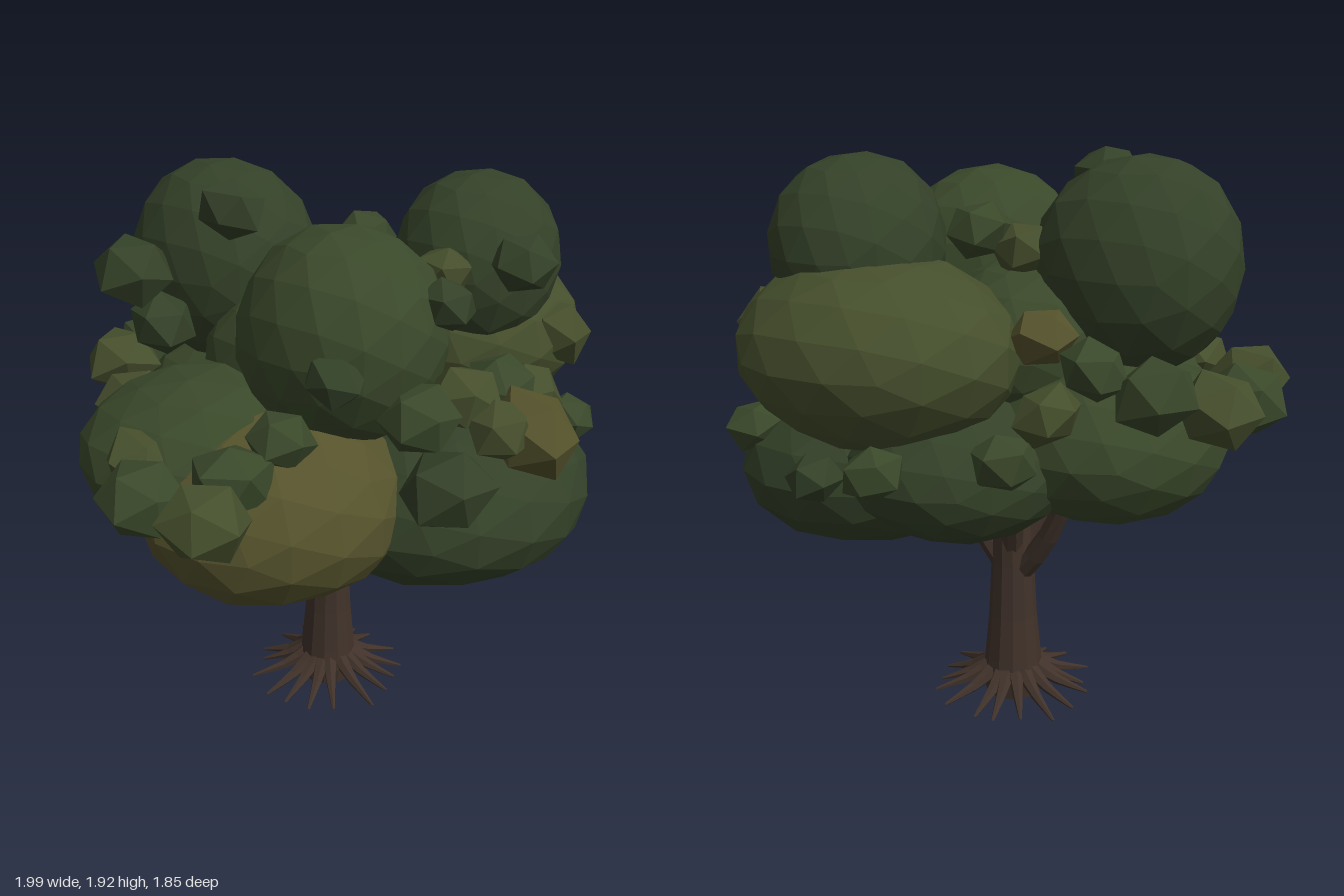
import * as THREE from 'three';

const mat = (color) => new THREE.MeshStandardMaterial({ color, flatShading: true });
const [DARK, MID, LIGHT, OLIVE] = [0x344128, 0x3a482a, 0x454e2c, 0x55522c].map(mat);
const BARK = mat(0x40322a);

// Small seeded generator
function seeded(seed) {
  return () => {
    seed = (seed * 16807) % 2147483647;
    return seed / 2147483647;
  };
}

function addMesh(parent, name, geometry, material) {
  const mesh = new THREE.Mesh(geometry, material);
  mesh.name = name;
  parent.add(mesh);
  return mesh;
}

const curveThrough = (points) => new THREE.CatmullRomCurve3(points.map((p) => new THREE.Vector3(...p)));

// Tapering limb: a tube whose rings shrink from r0 to r1
function limb(points, r0, r1, sides = 8, rings = 6) {
  const curve = curveThrough(points);
  const geo = new THREE.TubeGeometry(curve, rings, 1, sides);
  const pos = geo.attributes.position;
  const v = new THREE.Vector3();
  for (let i = 0; i < pos.count; i++) {
    const t = Math.floor(i / (sides + 1)) / rings;
    const c = curve.getPointAt(t);
    v.fromBufferAttribute(pos, i).sub(c).multiplyScalar(r0 + (r1 - r0) * t).add(c);
    pos.setXYZ(i, v.x, v.y, v.z);
  }
  geo.computeVertexNormals();
  return geo;
}

// Faceted foliage lump, pushed gently out of round by a smooth rule
function lump(radii, detail, seed, wobble) {
  const geo = new THREE.IcosahedronGeometry(1, detail);
  const pos = geo.attributes.position;
  for (let i = 0; i < pos.count; i++) {
    const x = pos.getX(i), y = pos.getY(i), z = pos.getZ(i);
    const k = 1 + wobble * Math.sin(3 * x + seed) * Math.cos(2.5 * z + 2 * y + seed * 1.7);
    pos.setXYZ(i, x * k * radii[0], y * k * radii[1], z * k * radii[2]);
  }
  geo.computeVertexNormals();
  return geo;
}

// Large crown masses: centre, radii, green
const MASSES = [
  [[0.25, 0.91, 0.42], [0.55, 0.31, 0.47], DARK],
  [[-0.32, 0.98, 0.12], [0.46, 0.32, 0.43], OLIVE],
  [[-0.35, 1.1, -0.14], [0.42, 0.26, 0.42], MID],
  [[0.16, 1.05, -0.37], [0.41, 0.28, 0.4], MID],
  [[0.47, 0.99, -0.03], [0.39, 0.24, 0.35], DARK],
  [[0.59, 1.35, 0.2], [0.4, 0.3, 0.46], LIGHT],
  [[0.48, 1.63, 0.34], [0.29, 0.3, 0.28], DARK],
  [[0.07, 1.58, -0.43], [0.31, 0.35, 0.34], DARK],
  [[-0.1, 1.5, 0.22], [0.35, 0.35, 0.34], MID],
  [[0.12, 1.33, -0.1], [0.4, 0.28, 0.33], MID],
];

// Garlands of leaf tufts: count, radius, greens in turn, path
const GARLANDS = [
  [4, 0.13, [MID, LIGHT], [[-0.17, 1.33, 0.56], [0.1, 1.35, 0.62], [0.36, 1.26, 0.63]]],
  [4, 0.14, [LIGHT, MID], [[-0.17, 1.2, -0.73], [0.2, 1.2, -0.81], [0.42, 1.28, -0.65]]],
  [3, 0.11, [MID, LIGHT], [[0.48, 1.35, -0.48], [0.58, 1.22, -0.38], [0.67, 1.09, -0.29]]],
  [3, 0.14, [MID, LIGHT], [[-0.86, 1.18, 0.07], [-0.82, 1.17, 0.31], [-0.64, 1.2, 0.22]]],
  [3, 0.13, [LIGHT, MID], [[-0.38, 1.18, -0.46], [-0.53, 1.12, -0.3], [-0.69, 1.17, -0.1]]],
];

// Single leaf tufts: centre, radius, green
const SINGLES = [
  [[-0.23, 1.16, 0.71], 0.15, DARK],
  [[0.13, 1.24, 0.79], 0.16, OLIVE],
  [[0.01, 1.28, 0.74], 0.11, LIGHT],
  [[0.6, 1.4, 0.6], 0.13, LIGHT],
  [[0.68, 1.06, 0.64], 0.1, MID],
  [[0.78, 0.97, 0.32], 0.1, DARK],
  [[0.91, 1.08, 0], 0.1, MID],
  [[0.33, 1.7, 0.6], 0.11, DARK],
  [[0.02, 1.63, 0.52], 0.1, DARK],
  [[0.18, 1.67, 0.4], 0.1, LIGHT],
  [[0.3, 1.69, 0.01], 0.11, MID],
  [[0.24, 1.63, -0.12], 0.11, LIGHT],
  [[-0.38, 1.48, 0.4], 0.1, DARK],
  [[-0.47, 1.28, 0.27], 0.11, MID],
  [[-0.34, 1.63, -0.46], 0.14, DARK],
  [[-0.3, 1.46, -0.38], 0.12, DARK],
  [[-0.12, 1.83, -0.22], 0.12, DARK],
  [[0.46, 1.42, -0.3], 0.11, OLIVE],
];

export function createModel() {
  const tree = new THREE.Group();
  tree.name = 'tree';
  const rand = seeded(71);

  // Trunk with a flared foot
  const wood = new THREE.Group();
  wood.name = 'wood';
  wood.position.x = 0.12;
  tree.add(wood);
  const profile = [[0, 0], [0.1, 0], [0.108, 0.06], [0.1, 0.14], [0.085, 0.3], [0.075, 0.5], [0.07, 0.66], [0.04, 0.9], [0, 0.95]];
  addMesh(wood, 'trunk', new THREE.LatheGeometry(profile.map((p) => new THREE.Vector2(...p)), 12), BARK);

  // Branches rising into the crown
  const ends = [[0.05, 1, -0.32], [0.08, 0.95, 0.27], [-0.14, 1, -0.15], [-0.13, 1, 0.13], [0.2, 1, -0.1]];
  ends.forEach(([x, y, z], i) => {
    const start = 0.47 + 0.02 * i;
    const path = [[x * 0.1, start, z * 0.1], [x * 0.35, start + 0.13, z * 0.42], [x, y, z]];
    addMesh(wood, 'branch', limb(path, 0.042, 0.026), BARK);
  });

  // Ring of pointed roots
  const ROOTS = 17;
  for (let i = 0; i < ROOTS; i++) {
    const a = ((i + 0.5 * rand()) / ROOTS) * Math.PI * 2;
    const reach = 0.25 + 0.06 * rand();
    const at = (r, y) => [Math.cos(a) * r, y, Math.sin(a) * r];
    addMesh(wood, 'root', limb([at(0.06, 0.11), at(0.15, 0.055), at(reach, 0.012)], 0.032, 0.005, 6, 4), BARK);
  }

  // Crown masses
  const crown = new THREE.Group();
  crown.name = 'crown';
  tree.add(crown);
  MASSES.forEach(([centre, radii, green], i) => {
    addMesh(crown, 'foliageMass', lump(radii, 2, i * 2.1, 0.03), green).position.set(...centre);
  });

  // Leaf tufts, each turned its own way
  const addTuft = (centre, r, green) => {
    const tuft = addMesh(crown, 'leafTuft', lump([r, r * 0.85, r], 0, rand() * 6, 0.1), green);
    tuft.position.set(...centre);
    tuft.rotation.set(rand() * 0.6, rand() * 6.28, rand() * 0.6);
  };
  SINGLES.forEach((single) => addTuft(...single));
  for (const [count, radius, greens, path] of GARLANDS) {
    const curve = curveThrough(path);
    for (let i = 0; i < count; i++) {
      addTuft(curve.getPointAt(i / (count - 1)).toArray(), radius, greens[i % greens.length]);
    }
  }

  return tree;
}
